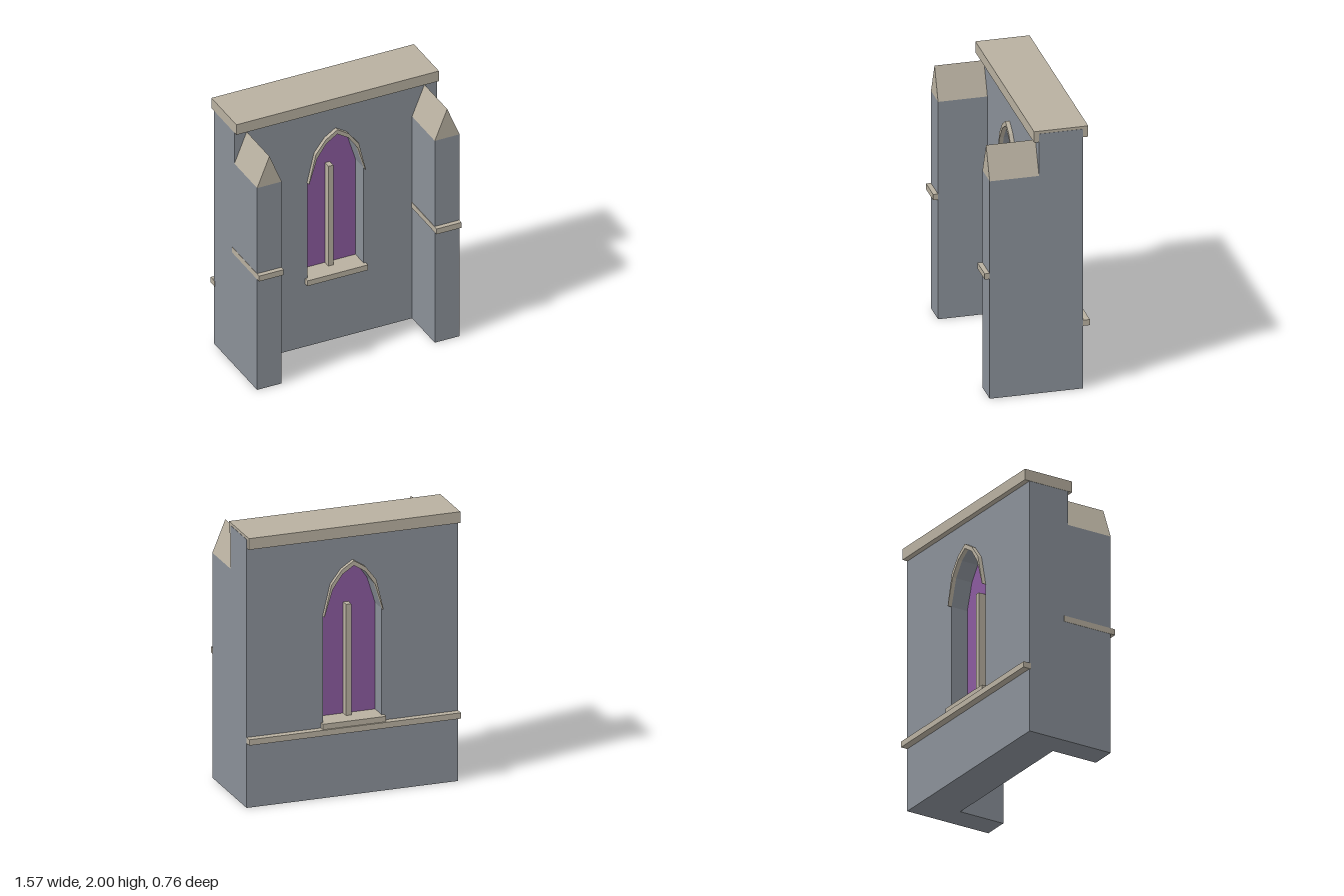
import * as THREE from 'three';

const stone = new THREE.MeshStandardMaterial({ color: 0x8a9098 });
stone.name = 'grey stone';
const trim = new THREE.MeshStandardMaterial({ color: 0xb8b0a0 });
trim.name = 'pale trim stone';
const glass = new THREE.MeshStandardMaterial({ color: 0x8a5a9e });
glass.name = 'purple glass';

// Wall faces, and the arch from its right springing to the apex
const BACK = -0.325, FRONT = -0.01;
const inner = [[0.218, 1.345], [0.158, 1.54], [0.085, 1.645], [0, 1.7]];
const outer = [[0.222, 1.345], [0.167, 1.575], [0.088, 1.678], [0, 1.735]];

// Completes a half arch by mirroring it to the left
const arch = (half) => [...half, ...half.slice(0, -1).reverse().map(([x, y]) => [-x, y])];
const toPoints = (list) => list.map(([x, y]) => new THREE.Vector2(x, y));

export function createModel() {
  const model = new THREE.Group();
  model.name = 'wallSection';

  const add = (name, geometry, material) => {
    const mesh = new THREE.Mesh(geometry, material);
    mesh.name = name;
    model.add(mesh);
    return mesh;
  };
  // Box given by its limits on each axis
  const box = (name, material, [x0, x1], [y0, y1], [z0, z1]) => {
    const mesh = add(name, new THREE.BoxGeometry(x1 - x0, y1 - y0, z1 - z0), material);
    mesh.position.set((x0 + x1) / 2, (y0 + y1) / 2, (z0 + z1) / 2);
  };
  // Outline in x and y, extruded between two depths
  const slab = (name, material, shape, z0, z1) => {
    const geometry = new THREE.ExtrudeGeometry(shape, { depth: z1 - z0, bevelEnabled: false });
    add(name, geometry.translate(0, 0, z0), material);
  };

  // Wall with a pointed window opening
  const opening = [[-0.218, 0.54], [0.218, 0.54], ...arch(inner)];
  const wall = new THREE.Shape(toPoints([[-0.785, 0], [0.787, 0], [0.787, 1.98], [-0.785, 1.98]]));
  wall.holes.push(new THREE.Path(toPoints(opening)));
  slab('wall', stone, wall, BACK, FRONT);

  // Window: pane, mullion, sill and hood mouldings on both faces
  slab('windowPane', glass, new THREE.Shape(toPoints(opening)), -0.195, -0.138);
  box('mullion', trim, [-0.019, 0.019], [0.55, 1.38], [-0.252, -0.083]);
  box('sill', trim, [-0.235, 0.235], [0.517, 0.56], [-0.365, 0.025]);
  const hood = new THREE.Shape(toPoints([...arch(outer), ...arch(inner).reverse()]));
  slab('backHoodMoulding', trim, hood, -0.355, BACK);
  slab('frontHoodMoulding', trim, hood, FRONT, 0.02);

  // Coping and the string course along the back
  box('coping', trim, [-0.787, 0.785], [1.917, 2], [-0.365, 0.025]);
  box('backStringCourse', trim, [-0.787, 0.787], [0.477, 0.52], [-0.377, -0.315]);

  // Buttresses with gabled tops and bands
  for (const [side, x0, x1, shift] of [['right', -0.785, -0.594, -0.002], ['left', 0.594, 0.787, -0.004]]) {
    box(side + 'Buttress', stone, [x0, x1], [0, 1.66], [FRONT, 0.345]);
    const gable = new THREE.Shape(toPoints([[x0, 1.66], [x1, 1.66], [(x0 + x1) / 2, 1.895]]));
    slab(side + 'ButtressGable', trim, gable, FRONT, 0.345);
    box(side + 'ButtressBand', trim, [x0 + shift, x1 + shift], [0.912, 0.956], [-0.04, 0.38]);
  }

  return model;
}
